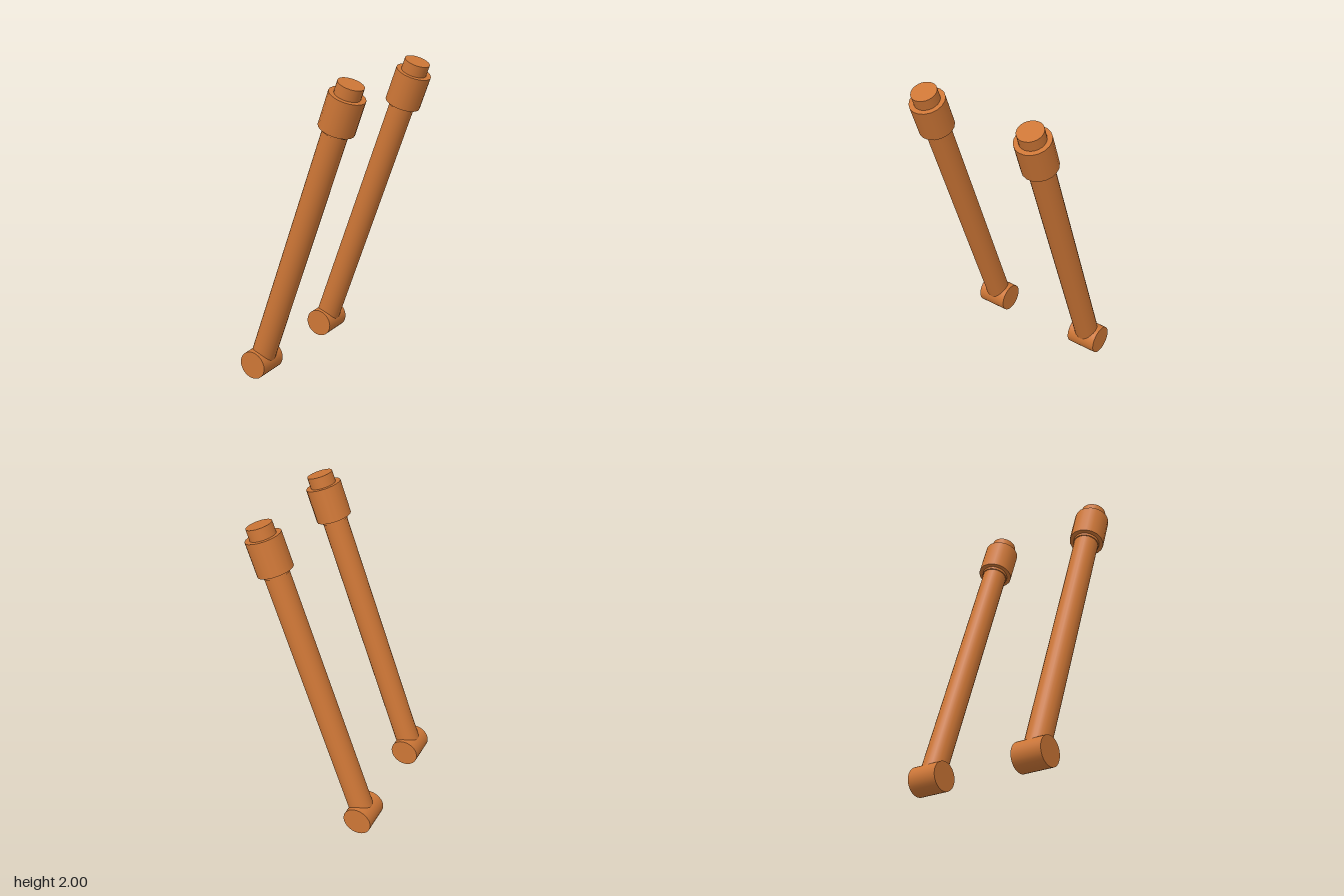
import * as THREE from 'three';

const copper = new THREE.MeshStandardMaterial({ color: 0xcd7636 });
copper.name = 'copper';

// Cylinder lying along the line from one point to another
function rod(name, radius, from, to, sides) {
  const axis = to.clone().sub(from);
  const mesh = new THREE.Mesh(new THREE.CylinderGeometry(radius, radius, axis.length(), sides), copper);
  mesh.name = name;
  mesh.position.copy(from).addScaledVector(axis, 0.5);
  mesh.quaternion.setFromUnitVectors(new THREE.Vector3(0, 1, 0), axis.normalize());
  return mesh;
}

// One leaning strut, with the centre of its pivot at the group's origin
function makeStrut(name) {
  const strut = new THREE.Group();
  strut.name = name;
  const top = new THREE.Vector3(0.674, 1.88, 0.013);
  const length = top.length();
  const along = (d) => top.clone().multiplyScalar(d / length);

  // Horizontal pivot barrel at the foot
  strut.add(rod('pivotBarrel', 0.092, new THREE.Vector3(0, 0, -0.101), new THREE.Vector3(0, 0, 0.101), 32));
  // Long shaft, with a thin seat ring under the collar
  strut.add(rod('shaft', 0.078, along(0), along(1.8), 24));
  strut.add(rod('seatRing', 0.084, along(1.69), along(1.72), 24));
  // Wide collar and the end cap that stands out of it
  strut.add(rod('collar', 0.111, along(1.709), along(1.926), 18));
  strut.add(rod('endCap', 0.08, along(1.9), along(length), 24));
  return strut;
}

export function createModel() {
  const model = new THREE.Group();
  model.name = 'strutPair';
  const front = makeStrut('frontStrut');
  front.position.set(-0.336, 0.094, 0.363);
  const back = makeStrut('backStrut');
  back.position.set(-0.332, 0.095, -0.39);
  model.add(front, back);
  return model;
}
